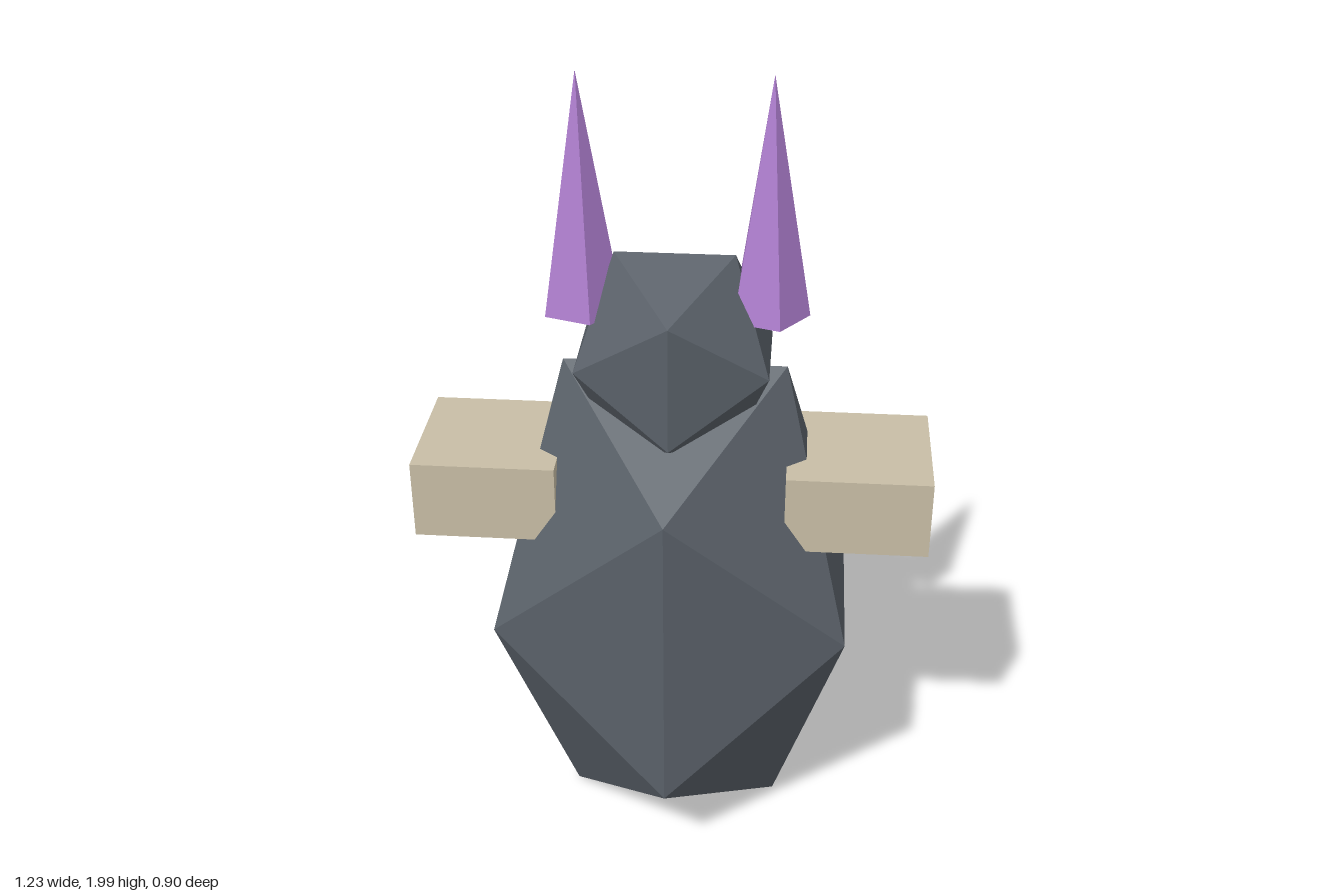
import * as THREE from 'three';

const material = (color) => new THREE.MeshStandardMaterial({ color, flatShading: true });

export function createModel() {
  const model = new THREE.Group();
  const dark = material(0x596068);
  const purple = material(0xb07fd0);
  const tan = material(0xc8bea6);
  const midZ = 0.107;

  function add(name, geometry, mat, x, y, z) {
    const mesh = new THREE.Mesh(geometry, mat);
    mesh.name = name;
    mesh.position.set(x, y, z);
    model.add(mesh);
    return mesh;
  }

  // Stretched icosahedron with the given radii
  const gem = (rx, ry, rz) => new THREE.IcosahedronGeometry(1, 0).scale(rx, ry, rz);

  add('body', gem(0.505, 0.761, 0.403), dark, 0, 0.648, midZ);
  add('head', gem(0.265, 0.296, 0.238), dark, 0, 1.322, midZ);
  add('tail', gem(0.188, 0.206, 0.111), purple, 0, 0.73, -0.358);

  for (const [side, s] of [['left', 1], ['right', -1]]) {
    // Five-sided ears, both with a corner towards +x
    const ear = new THREE.ConeGeometry(0.097, 0.565, 5).rotateY(Math.PI / 2);
    add(side + 'Ear', ear, purple, s * 0.216, 1.7125, midZ);

    // Block arms
    add(side + 'Arm', new THREE.BoxGeometry(0.343, 0.196, 0.335), tan, s * 0.4435, 0.987, midZ);
  }
  return model;
}
